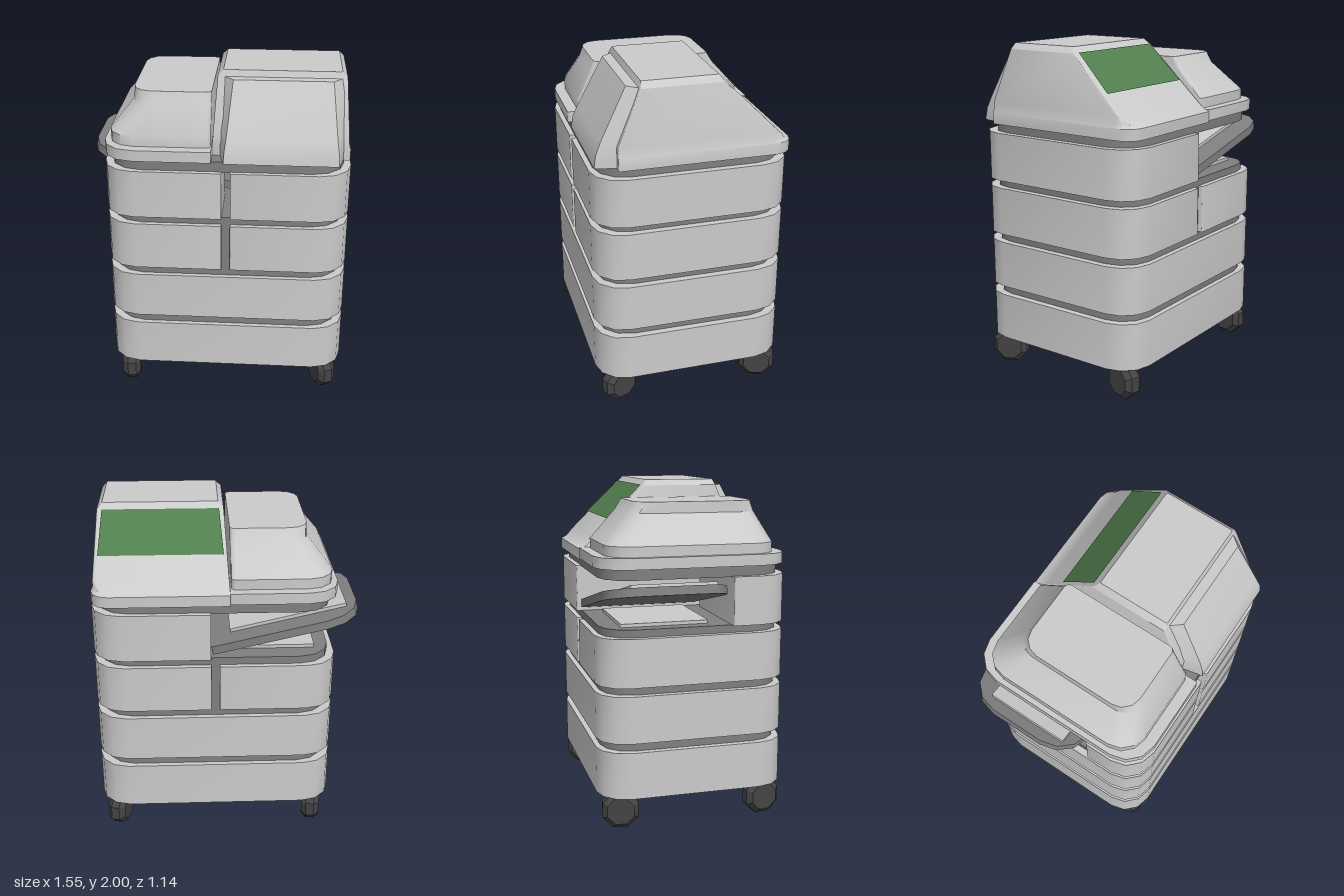
import * as THREE from 'three';
import { toCreasedNormals } from 'three/addons/utils/BufferGeometryUtils.js';

const grey = new THREE.MeshStandardMaterial({ color: 0xcccccc });
const dark = new THREE.MeshStandardMaterial({ color: 0x808080 });
const black = new THREE.MeshStandardMaterial({ color: 0x444444, flatShading: true });
const green = new THREE.MeshStandardMaterial({ color: 0x528050 });

// Rounded rectangle in x/z; radii: back -x, back +x, front +x, front -x
function outline(x0, x1, z0, z1, radii) {
  const points = [], steps = 3;
  const corners = [[x0, z0, 1, 1], [x1, z0, -1, 1], [x1, z1, -1, -1], [x0, z1, 1, -1]];
  corners.forEach(([x, z, sx, sz], k) => {
    const r = radii[k];
    for (let i = 0; i <= steps; i++) {
      const a = Math.PI + (k + i / steps) * Math.PI / 2;
      points.push([x + sx * r + r * Math.cos(a), z + sz * r + r * Math.sin(a)]);
    }
  });
  return points;
}

// Closed solid through a stack of [y, outline] levels
function loft(levels) {
  const pos = [];
  const n = levels[0][1].length;
  const at = (l, i) => [levels[l][1][i % n][0], levels[l][0], levels[l][1][i % n][1]];
  const last = levels.length - 1;
  const centre = l => {
    const p = levels[l][1];
    return [p.reduce((s, q) => s + q[0], 0) / n, levels[l][0], p.reduce((s, q) => s + q[1], 0) / n];
  };
  for (let i = 0; i < n; i++) {
    for (let l = 0; l < last; l++) {
      pos.push(...at(l, i), ...at(l + 1, i), ...at(l, i + 1));
      pos.push(...at(l, i + 1), ...at(l + 1, i), ...at(l + 1, i + 1));
    }
    pos.push(...centre(last), ...at(last, i + 1), ...at(last, i));
    pos.push(...centre(0), ...at(0, i), ...at(0, i + 1));
  }
  const g = new THREE.BufferGeometry();
  g.setAttribute('position', new THREE.Float32BufferAttribute(pos, 3));
  return toCreasedNormals(g, 0.56);
}

export function createModel() {
  const model = new THREE.Group();
  const add = (name, geometry, material = grey) => {
    const mesh = new THREE.Mesh(geometry, material);
    mesh.name = name;
    model.add(mesh);
    return mesh;
  };
  const slab = (name, y0, y1, x0, x1, z0, z1, radii, material) => {
    const o = outline(x0, x1, z0, z1, radii);
    return add(name, loft([[y0, o], [y1, o]]), material);
  };
  const R = 0.18, s = 0.008;
  const X0 = -0.645, X1 = 0.775, Z0 = -0.567, Z1 = 0.57;
  const all = [R, R, R, R], leftR = [R, s, s, R], rightR = [s, R, R, s];

  // Recessed cores that show in the gaps between the drawers
  slab('lowerCore', 0.4, 1.19, -0.605, 0.735, -0.535, 0.54, all, dark);
  slab('upperCore', 1.47, 1.535, -0.605, 0.735, -0.535, 0.54, all, dark);

  // Full-width drawers, then split ones
  slab('bottomDrawer', 0.195, 0.475, X0, X1, Z0, Z1, all);
  slab('secondDrawer', 0.53, 0.81, X0, X1, Z0, Z1, all);
  slab('thirdDrawerRight', 0.86, 1.145, X0, 0.04, Z0, Z1, leftR);
  slab('thirdDrawerLeft', 0.86, 1.145, 0.09, X1, Z0, Z1, rightR);
  slab('upperBlockLeft', 1.19, 1.475, 0.09, X1, Z0, Z1, rightR);
  slab('upperBlockRight', 1.19, 1.475, X0, 0.04, 0.22, Z1, [s, s, s, R]);

  // Sloping output tray with a sheet, and a plate on the bay floor
  const tray = new THREE.Group();
  tray.name = 'outputTray';
  tray.position.set(-0.345, 1.335, 0);
  tray.rotation.z = -0.226;
  tray.add(
    slab('trayBase', -0.025, 0.025, -0.44, 0.44, -0.54, 0.19, [0.2, s, s, 0.2], dark),
    slab('traySheet', 0.02, 0.045, -0.375, 0.32, -0.4, 0.1, [s, s, s, s]));
  model.add(tray);
  slab('bayFloorPlate', 1.185, 1.21, -0.52, 0.02, -0.42, 0.1, [s, s, s, s]);

  // Document lid: rim and stepped, tapering cover
  slab('lidRim', 1.535, 1.6, X0, -0.02, Z0, 0.565, leftR);
  const lidLevels = [
    [1.59, -0.615, -0.505, 0.5, 0.15], [1.66, -0.615, -0.505, 0.5, 0.15],
    [1.83, -0.475, -0.35, 0.42, 0.11], [1.895, -0.475, -0.31, 0.395, 0.11]];
  add('documentLid', loft(lidLevels.map(([y, x, z0, z1, r]) =>
    [y, outline(x, -0.025, z0, z1, [r, 0.03, 0.03, r])])));

  // Tall scanner housing: y, x range, z range, back corner radius
  const housing = [
    [1.525, -0.02, 0.765, -0.565, 0.44, 0.1], [1.59, -0.02, 0.765, -0.565, 0.44, 0.1],
    [1.605, -0.02, 0.758, -0.53, 0.44, 0.08], [1.65, -0.017, 0.755, -0.48, 0.44, 0.03],
    [1.965, 0.003, 0.735, -0.16, 0.31, 0.01], [2.0, 0.035, 0.705, -0.13, 0.3, 0.01]];
  add('scannerHousing', loft(housing.map(([y, x0, x1, z0, z1, r]) =>
    [y, outline(x0, x1, z0, z1, [s, r, s, s])])));

  // Protruding front panel with bevelled sides: y, back z, front z, x inset
  const panel = [[1.53, 0.42, 0.56, 0.03], [1.6, 0.42, 0.55, 0.035],
    [1.67, 0.41, 0.52, 0.045], [1.963, 0.28, 0.37, 0.075]];
  add('frontPanel', loft(panel.map(([y, zb, zf, d]) =>
    [y, [[0.02, zb], [0.73, zb], [0.73 - d, zf], [0.02 + d, zf]]])));

  // Green display on the rear slope
  const onSlope = (x, z) => [x, 1.965 + (z + 0.16) * 0.984 + 0.006, z - 0.004];
  const [a, b, c, d] = [onSlope(0.01, -0.37), onSlope(0.725, -0.37), onSlope(0.705, -0.162), onSlope(0.03, -0.162)];
  const screen = new THREE.BufferGeometry();
  screen.setAttribute('position', new THREE.Float32BufferAttribute([a, d, b, b, d, c].flat(), 3));
  screen.computeVertexNormals();
  add('displayPanel', screen, green);

  // Octagonal casters, each turned a little
  const casters = [[-0.54, 0.44, 0.15], [-0.54, -0.44, -0.15], [0.665, 0.44, 0.4], [0.665, -0.44, -0.3]];
  const profile = [[0, -0.055], [0.085, -0.055], [0.115, -0.025], [0.115, 0.025], [0.085, 0.055], [0, 0.055]]
    .map(p => new THREE.Vector2(...p));
  for (const [x, z, yaw] of casters) {
    const wheel = new THREE.LatheGeometry(profile, 8, Math.PI / 8).rotateZ(Math.PI / 2).rotateY(yaw);
    add('caster', wheel, black).position.set(x, 0.106, z);
  }
  return model;
}
